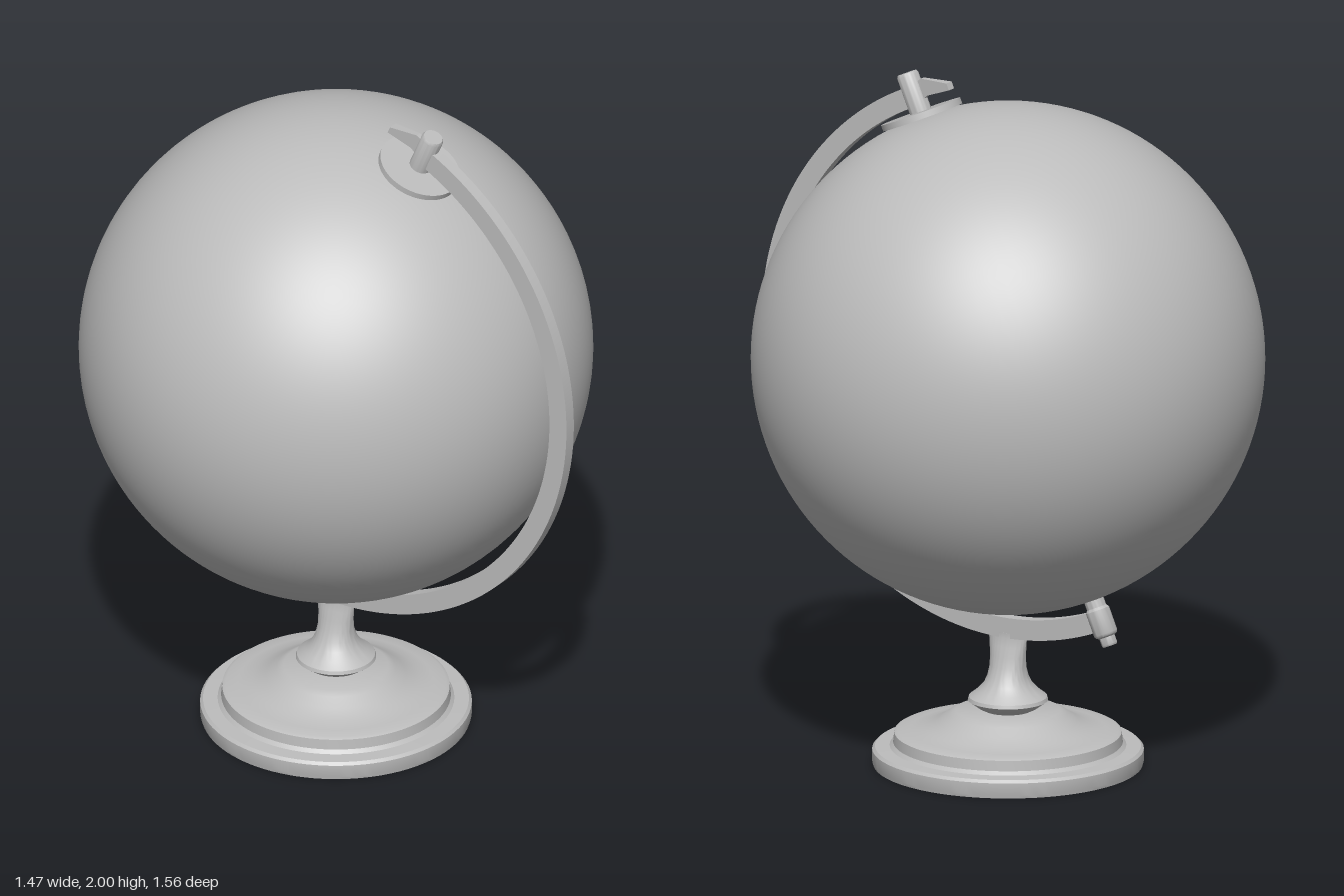
import * as THREE from 'three';
import { toCreasedNormals } from 'three/addons/utils/BufferGeometryUtils.js';

const CENTER_Z = -0.045;
const TILT = THREE.MathUtils.degToRad(23.4);

// Round solid from [radius, height] pairs, listed bottom to top
function lathe(points, segments = 64) {
  return new THREE.LatheGeometry(points.map(([r, y]) => new THREE.Vector2(r, y)), segments);
}

export function createModel() {
  const model = new THREE.Group();
  model.name = 'deskGlobe';
  const grey = new THREE.MeshStandardMaterial({ color: 0xbcbcbc });
  grey.name = 'plain grey';

  const add = (parent, name, geometry) => {
    const mesh = new THREE.Mesh(geometry, grey);
    mesh.name = name;
    parent.add(mesh);
    return mesh;
  };
  const crease = (geometry) => toCreasedNormals(geometry, 0.6);

  // Stepped round base
  const base = add(model, 'base', crease(lathe([
    [0, 0], [0.385, 0], [0.388, 0.01], [0.388, 0.045], [0.38, 0.053], [0.338, 0.055],
    [0.328, 0.065], [0.325, 0.095], [0.315, 0.1], [0.28, 0.102], [0.24, 0.111],
    [0.2, 0.128], [0.17, 0.15], [0.15, 0.16], [0, 0.16],
  ], 96)));
  base.position.z = CENTER_Z;

  // Stem: round at the collar, narrowing sideways to meet the arm
  const stemGeometry = lathe([
    [0, 0.155], [0.065, 0.158], [0.085, 0.168], [0.115, 0.19], [0.112, 0.2], [0.09, 0.217],
    [0.07, 0.238], [0.06, 0.262], [0.056, 0.29], [0.057, 0.32], [0.06, 0.35],
    [0.063, 0.375], [0.063, 0.39], [0, 0.39],
  ]);
  const p = stemGeometry.attributes.position;
  for (let i = 0; i < p.count; i++) {
    const t = THREE.MathUtils.clamp((p.getY(i) - 0.25) / 0.125, 0, 1);
    p.setX(i, p.getX(i) * (1 - 0.7 * t));
  }
  const stem = add(model, 'stem', crease(stemGeometry));
  stem.position.z = CENTER_Z;

  // Everything on the tilted axis
  const axis = new THREE.Group();
  axis.name = 'tiltedAssembly';
  axis.position.set(0, 1.2, CENTER_Z);
  axis.rotation.x = TILT;
  model.add(axis);

  add(axis, 'ball', new THREE.SphereGeometry(0.735, 96, 64));

  // Half-ring arm from pole to pole
  const ring = new THREE.Shape();
  ring.absarc(0, 0, 0.825, -Math.PI / 2, Math.PI / 2, false);
  ring.absarc(0, 0, 0.765, Math.PI / 2, -Math.PI / 2, true);
  const armGeometry = new THREE.ExtrudeGeometry(ring, { depth: 0.036, bevelEnabled: false, curveSegments: 64 });
  armGeometry.translate(0, 0, -0.018).rotateY(-Math.PI / 2);
  add(axis, 'arm', crease(armGeometry));

  // Flared tip behind the top pin: [z, low, high, half width]
  const sections = [
    [-0.128, 0.779, 0.8, 0.014],
    [-0.045, 0.784, 0.836, 0.008],
    [0, 0.767, 0.825, 0.006],
  ];
  const tipGeometry = new THREE.BoxGeometry(2, 2, 2, 1, 1, 2);
  const q = tipGeometry.attributes.position;
  for (let i = 0; i < q.count; i++) {
    const [z, low, high, half] = sections[Math.round(q.getZ(i)) + 1];
    q.setXYZ(i, q.getX(i) * half, q.getY(i) > 0 ? high : low, z);
  }
  add(axis, 'armTip', crease(tipGeometry));

  // Disc and pin at the top pole
  const disc = add(axis, 'poleDisc', new THREE.CylinderGeometry(0.12, 0.12, 0.018, 64));
  disc.position.y = 0.738;
  add(axis, 'topPin', crease(lathe([
    [0, 0.73], [0.032, 0.73], [0.032, 0.857], [0.028, 0.864], [0, 0.864],
  ], 32)));

  // Stepped pin at the bottom pole
  add(axis, 'bottomPin', crease(lathe([
    [0, -0.873], [0.02, -0.873], [0.023, -0.868], [0.023, -0.846], [0.031, -0.842],
    [0.035, -0.835], [0.035, -0.765], [0.029, -0.757], [0.029, -0.72], [0, -0.72],
  ], 32)));

  return model;
}
